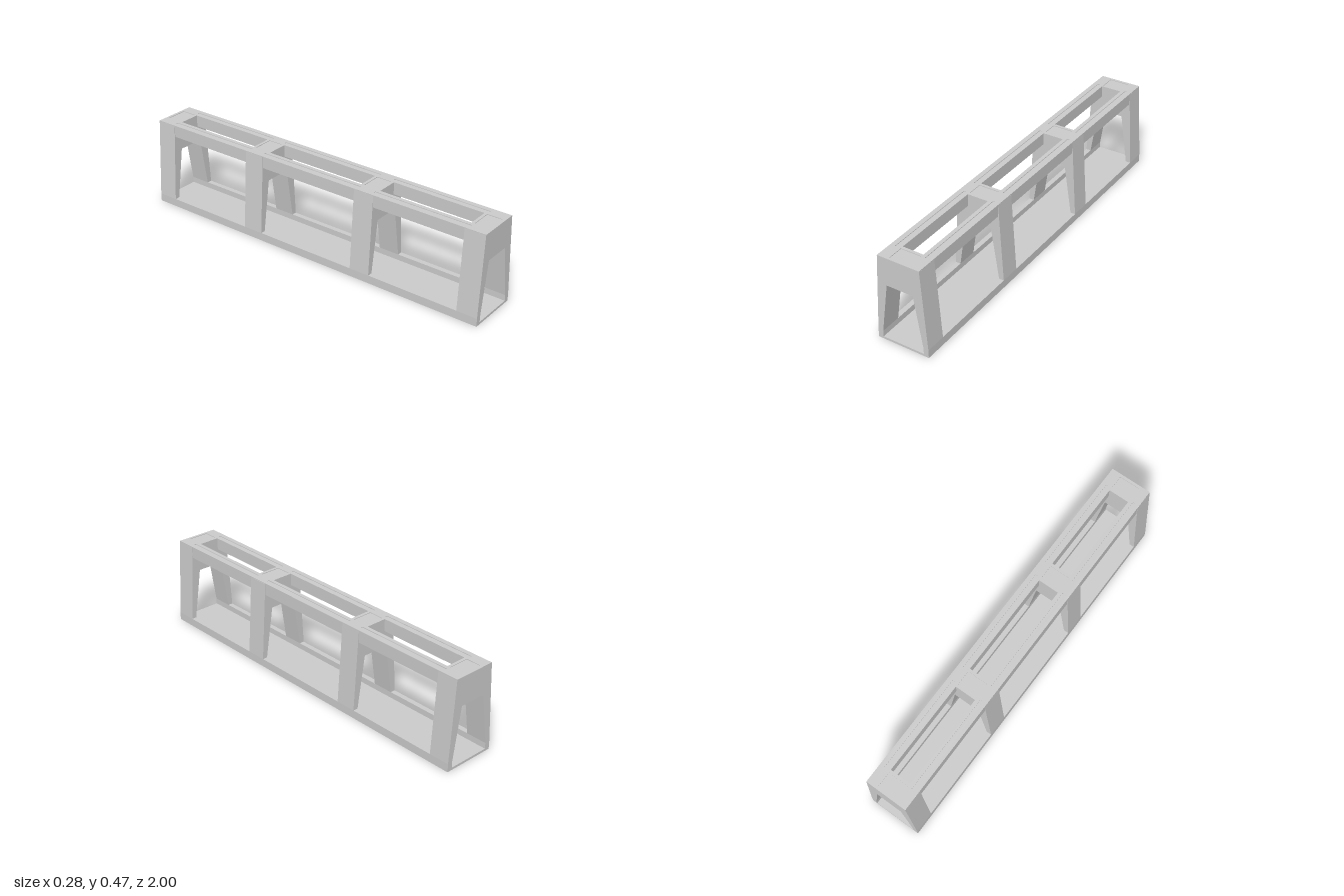
import * as THREE from 'three';

const TOP = 0.467, RECESS = 0.464, CURB = 0.043;
const material = new THREE.MeshStandardMaterial({ color: 0xcccccc, flatShading: true });

function polygon(points) {
  return new THREE.Shape(points.map(([x, y]) => new THREE.Vector2(x, y)));
}

function rectangle(x0, x1, y0, y1) {
  return polygon([[x0, y0], [x1, y0], [x1, y1], [x0, y1]]);
}

function addMesh(parent, name, geometry) {
  const mesh = new THREE.Mesh(geometry, material);
  mesh.name = name;
  parent.add(mesh);
  return mesh;
}

function extrude(shape, depth) {
  return new THREE.ExtrudeGeometry(shape, { depth, bevelEnabled: false });
}

// Closed left/right symmetric outline from its right half
function mirrored(half) {
  return polygon([...half, ...half.slice().reverse().map(([x, y]) => [-x, y])]);
}

export function createModel() {
  const group = new THREE.Group();
  group.name = 'openFrameBeam';

  // z ranges of the four frames and of the three bays between them
  const frames = [[-1, -0.89], [-0.393, -0.282], [0.282, 0.393], [0.89, 1]];
  const bays = [[-0.89, -0.393], [-0.282, 0.282], [0.393, 0.89]];

  // Floor tray with a low curb along each side
  const tray = mirrored([[0.14, 0], [0.14, CURB], [0.113, CURB], [0.113, 0.012]]);
  addMesh(group, 'floorTray', extrude(tray, 2)).position.z = -1;

  // Tapered portal frames: two leaning legs under a deep head
  const portal = mirrored([
    [0.071, 0.318], [0.113, CURB], [0.14, CURB], [0.1132, RECESS],
  ]);
  for (const [z0, z1] of frames) {
    addMesh(group, 'portalFrame', extrude(portal, z1 - z0)).position.z = z0;
  }

  // Upright-sided top rails across each bay
  for (const [z0, z1] of bays) {
    for (const side of [-1, 1]) {
      const rail = addMesh(group, 'topRail', new THREE.BoxGeometry(0.057, RECESS - 0.403, z1 - z0));
      rail.position.set(side * 0.0845, (RECESS + 0.403) / 2, (z0 + z1) / 2);
    }
  }

  // Thin deck pierced by the bay openings, with shallow recessed panels and slots
  const deck = rectangle(-0.113, 0.113, -1, 1);
  for (const [z0, z1] of bays) {
    deck.holes.push(rectangle(-0.056, 0.056, z0, z1));
    for (const x of [-0.082, 0.082]) {
      deck.holes.push(rectangle(x - 0.006, x + 0.006, z0 - 0.015, z1 + 0.015));
    }
  }
  for (const [z0, z1] of frames) {
    deck.holes.push(rectangle(-0.055, 0.055, z0 + 0.015, z1 - 0.015));
  }
  const deckGeometry = extrude(deck, TOP - RECESS);
  deckGeometry.rotateX(-Math.PI / 2);
  addMesh(group, 'topDeck', deckGeometry).position.y = RECESS;

  return group;
}
